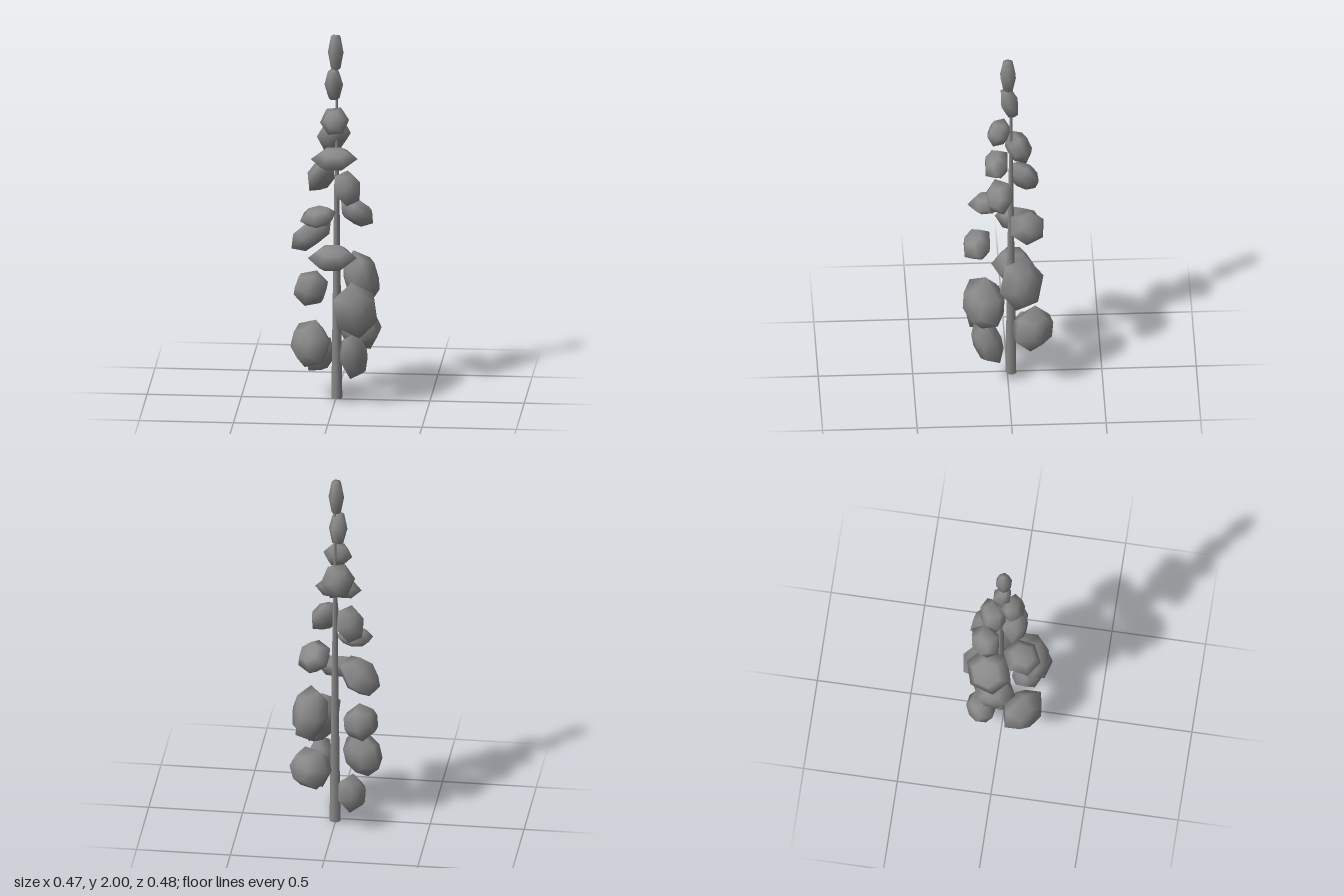
import * as THREE from 'three';

const STALK_X = 0.004, STALK_Z = -0.02;

// Faceted bud of unit size: a six-sided double taper whose axis is local z
function budGeometry() {
  const profile = [[0, -0.5], [0.31, -0.47], [0.52, 0], [0.31, 0.47], [0, 0.5]]
    .map(([r, h]) => new THREE.Vector2(r, h));
  return new THREE.LatheGeometry(profile, 6).rotateX(Math.PI / 2).rotateZ(Math.PI / 2);
}

// Side buds: x, y, z, width, height, thickness, upward pitch and optional roll in degrees
const SIDE_BUDS = [
  [-0.002, 1.54, 0.045, 0.15, 0.155, 0.1, 25, 8],
  [-0.015, 1.435, -0.06, 0.185, 0.19, 0.11, 15],
  [-0.003, 1.335, 0.057, 0.24, 0.15, 0.1, 60, 4],
  [-0.085, 1.2, -0.09, 0.19, 0.2, 0.1, 25],
  [0.065, 1.172, 0.045, 0.18, 0.19, 0.1, 22, 10],
  [-0.085, 1.03, 0.105, 0.19, 0.2, 0.08, 80],
  [0.105, 1, -0.1, 0.22, 0.19, 0.11, 48],
  [-0.135, 0.885, -0.065, 0.25, 0.25, 0.12, 50],
  [-0.005, 0.82, 0.16, 0.25, 0.17, 0.11, 62, 3],
  [0.13, 0.65, -0.07, 0.25, 0.3, 0.16, 12, 8],
  [-0.135, 0.595, -0.035, 0.22, 0.19, 0.16, 15],
  [0.115, 0.525, 0.13, 0.27, 0.3, 0.17, 8, 32],
  [-0.125, 0.335, 0.115, 0.26, 0.26, 0.15, 8, 20],
  [0.12, 0.355, -0.13, 0.26, 0.23, 0.17, 15, 10],
  [0.105, 0.27, 0.11, 0.16, 0.29, 0.13, -12, 16],
  [-0.095, 0.212, -0.112, 0.18, 0.21, 0.12, 12, 10],
];

export function createModel() {
  const model = new THREE.Group();
  model.name = 'flowerSpike';
  const grey = new THREE.MeshStandardMaterial({ color: 0x888888 });
  grey.name = 'plantGrey';

  // Tapered stalk
  const stalk = new THREE.Mesh(new THREE.CylinderGeometry(0.004, 0.03, 1.88, 7), grey);
  stalk.name = 'stalk';
  stalk.position.set(STALK_X, 0.94, STALK_Z);
  model.add(stalk);

  const geometry = budGeometry();
  const rad = THREE.MathUtils.degToRad;
  function addBud(name, position, size, azimuth, pitch, roll = 0) {
    const bud = new THREE.Mesh(geometry, grey);
    bud.name = name;
    bud.position.set(...position);
    bud.scale.set(...size);
    bud.rotation.set(-rad(pitch), azimuth, rad(roll), 'YXZ');
    model.add(bud);
  }

  // Closed buds standing on the tip
  addBud('tipBud', [0, 1.905, -0.004], [0.08, 0.09, 0.19], 0, 90);
  addBud('lowerTipBud', [-0.011, 1.725, -0.012], [0.095, 0.1, 0.17], 0, 76);

  // Side buds, each facing away from the stalk
  SIDE_BUDS.forEach(([x, y, z, w, h, t, pitch, roll], i) => {
    const azimuth = Math.atan2(x - STALK_X, z - STALK_Z);
    addBud(`sideBud${i + 1}`, [x, y, z], [w, h, t], azimuth, pitch, roll);
  });
  return model;
}
